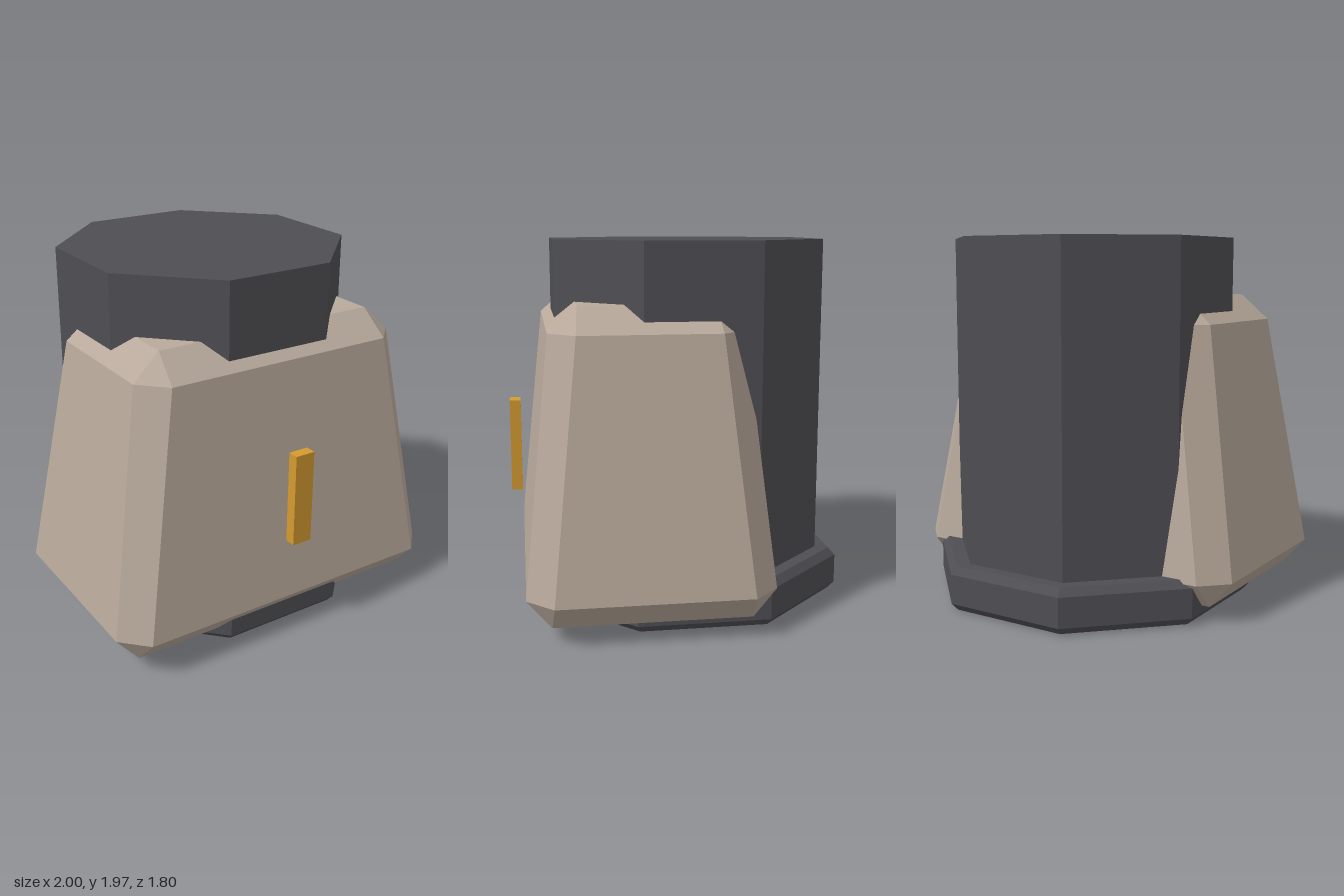
import * as THREE from 'three';
import { ConvexGeometry } from 'three/addons/geometries/ConvexGeometry.js';

const material = (name, color) => {
  const m = new THREE.MeshStandardMaterial({ color, flatShading: true });
  m.name = name;
  return m;
};

// Eight-sided solid from [apothem, height] rings, with a flat side facing front
function octagonalSolid(rings) {
  const points = rings.map(([a, y]) => new THREE.Vector2(a / Math.cos(Math.PI / 8), y));
  points.unshift(new THREE.Vector2(0, rings[0][1]));
  points.push(new THREE.Vector2(0, rings[rings.length - 1][1]));
  return new THREE.LatheGeometry(points, 8, Math.PI / 8);
}

// Tapered housing with bevelled edges: rings of [half width, half depth, corner cut, height]
function bevelledHousing(rings) {
  const points = [];
  for (const [w, d, cut, y] of rings)
    for (const sx of [-1, 1])
      for (const sz of [-1, 1]) {
        points.push(new THREE.Vector3(sx * w, y, sz * (d - cut)));
        if (cut > 0) points.push(new THREE.Vector3(sx * (w - cut), y, sz * d));
      }
  return new ConvexGeometry(points);
}

export function createModel() {
  const model = new THREE.Group();
  const darkGrey = material('dark grey', 0x4f4e53);
  const tan = material('tan', 0xb8a99b);
  const amber = material('amber', 0xd49b30);

  const add = (name, geometry, mat, y, z) => {
    const mesh = new THREE.Mesh(geometry, mat);
    mesh.name = name;
    mesh.position.set(0, y, z);
    model.add(mesh);
  };

  // Octagonal column and its chamfered foot
  add('column', octagonalSolid([[0.725, 0.1], [0.725, 1.97]]), darkGrey, 0, -0.07);
  add('foot', octagonalSolid([[0.8, 0], [0.835, 0.04], [0.835, 0.2], [0.8, 0.24]]), darkGrey, 0, -0.065);

  // Bevelled housing wrapped around the front of the column
  add('housing', bevelledHousing([
    [0.88, 0.51, 0, 0.08],
    [1.0, 0.635, 0.135, 0.22],
    [0.787, 0.5, 0.135, 1.52],
    [0.635, 0.35, 0, 1.655],
  ]), tan, 0, 0.205);

  // Upright indicator bar in front of the housing
  add('indicatorBar', new THREE.BoxGeometry(0.112, 0.51, 0.06), amber, 0.83, 0.872);

  return model;
}
